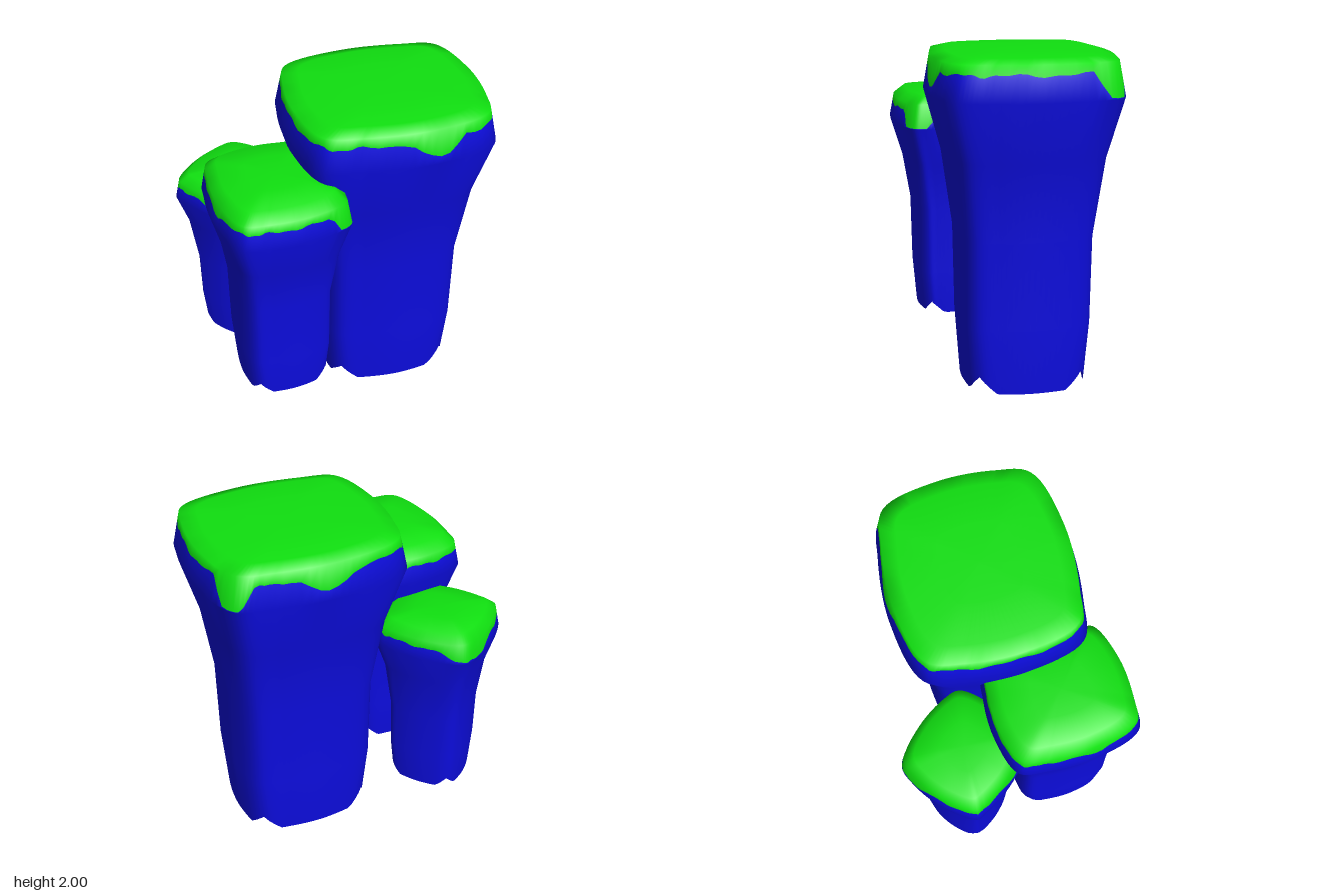
import * as THREE from 'three';

const SUB = 8; // ring points per outline point
const SCALES = [0.65, 0.7, 0.715, 0.83, 1, 0.935, 0.78, 0.4]; // foot, leg, waist, shoulder, widest, rim, top, inner top
const WIDEST = 4;

// Closed outline from four chamfered corners; every side between them bulges out a little
function outlineLoop(chamfers) {
  const points = [];
  for (let i = 0; i < chamfers.length; i += 2) {
    const [ax, az] = chamfers[i];
    const [bx, bz] = chamfers[i + 1];
    points.push(
      new THREE.Vector3(ax, 0, az),
      new THREE.Vector3((ax + bx) / 2 + 0.08 * (bz - az), 0, (az + bz) / 2 - 0.08 * (bx - ax)),
      new THREE.Vector3(bx, 0, bz),
    );
  }
  const n = points.length * SUB;
  return new THREE.CatmullRomCurve3(points, true).getPoints(n).slice(0, n);
}

// Loft the rings, with an extra wavy ring where the stone meets the cap
function pillarGeometry({ chamfers, heights, notch, edge, drips }) {
  const loop = outlineLoop(chamfers);
  const n = loop.length;
  const center = new THREE.Box3().setFromPoints(loop).getCenter(new THREE.Vector3());
  const corners = loop.filter((p, i) => i % (3 * SUB) === 0);
  const positions = [];
  const add = (p, y, s) => positions.push(center.x + (p.x - center.x) * s, y, center.z + (p.z - center.z) * s);

  // Height of the cap border between widest ring (0) and rim (1); each drip is x, z, half width, depth
  const wavyEdge = (p, i) => {
    let t = edge + 0.04 * Math.sin(i * 0.71) + 0.03 * Math.sin(i * 1.57 + 1);
    for (const [x, z, w, depth] of drips) {
      t -= depth * Math.max(0, 1 - (Math.hypot(p.x - x, p.z - z) / w) ** 2);
    }
    return THREE.MathUtils.clamp(t, 0.03, 0.9);
  };

  heights.forEach((y, k) => {
    const s = SCALES[k];
    for (const p of loop) {
      let lift = 0;
      if (k === 0) { // broken corners along the open foot
        const d = Math.min(...corners.map((c) => p.distanceTo(c))) * s;
        lift = notch * Math.max(0, 1 - d / (notch * 1.1));
      }
      add(p, y + lift, s);
    }
    if (k === WIDEST) {
      loop.forEach((p, i) => {
        const t = wavyEdge(p, i);
        add(p, y + (heights[k + 1] - y) * t, s + (SCALES[k + 1] - s) * t);
      });
    }
  });
  const rows = heights.length + 1;
  positions.push(center.x, heights[heights.length - 1], center.z);

  const index = [];
  for (let j = 0; j < rows; j++) {
    for (let i = 0; i < n; i++) {
      const a = j * n + i;
      const b = j * n + (i + 1) % n;
      if (j === rows - 1) index.push(a, rows * n, b);
      else index.push(a, a + n, b, b, a + n, b + n);
    }
  }

  const geometry = new THREE.BufferGeometry();
  geometry.setAttribute('position', new THREE.Float32BufferAttribute(positions, 3));
  geometry.setIndex(index);
  const capStart = (WIDEST + 1) * n * 6;
  geometry.addGroup(0, capStart, 0);
  geometry.addGroup(capStart, index.length - capStart, 1);
  geometry.computeVertexNormals();
  return geometry;
}

export function createModel() {
  const stone = new THREE.MeshStandardMaterial({ color: 0x0d0de0, side: THREE.DoubleSide });
  stone.name = 'blue stone';
  const moss = new THREE.MeshStandardMaterial({ color: 0x10e010 });
  moss.name = 'green moss';

  const group = new THREE.Group();
  group.name = 'rockPillars';
  const addPillar = (name, shape) => {
    const mesh = new THREE.Mesh(pillarGeometry(shape), [stone, moss]);
    mesh.name = name;
    group.add(mesh);
  };

  addPillar('tallPillar', {
    chamfers: [[-0.33, -0.45], [0.42, -0.78], [0.65, -0.79], [0.96, -0.12],
      [0.96, 0.1], [0.2, 0.43], [-0.03, 0.44], [-0.33, -0.22]],
    heights: [0, 0.4, 0.93, 1.4, 1.76, 1.965, 1.99, 2],
    notch: 0.1,
    edge: 0.72,
    drips: [[0.64, 0.28, 0.17, 0.55], [0.67, -0.78, 0.14, 0.75], [0.13, -0.69, 0.18, 0.45]],
  });
  addPillar('middlePillar', {
    chamfers: [[-0.75, 0.11], [-0.33, -0.12], [-0.12, -0.14], [0.14, 0.43],
      [0.15, 0.51], [-0.3, 0.77], [-0.45, 0.79], [-0.73, 0.27]],
    heights: [0.23, 0.5, 0.92, 1.22, 1.46, 1.61, 1.665, 1.685],
    notch: 0.07,
    edge: 0.68,
    drips: [[0.14, 0.5, 0.13, 1], [-0.62, 0.54, 0.08, 0.25]],
  });
  addPillar('shortPillar', {
    chamfers: [[-0.97, -0.12], [-0.78, -0.51], [-0.67, -0.59], [-0.25, -0.37],
      [-0.19, -0.28], [-0.4, 0.09], [-0.5, 0.15], [-0.93, -0.07]],
    heights: [0.16, 0.4, 0.7, 1, 1.19, 1.31, 1.355, 1.375],
    notch: 0.06,
    edge: 0.62,
    drips: [[-0.73, -0.55, 0.22, 0.55], [-0.73, 0.1, 0.1, 0.35]],
  });
  return group;
}
